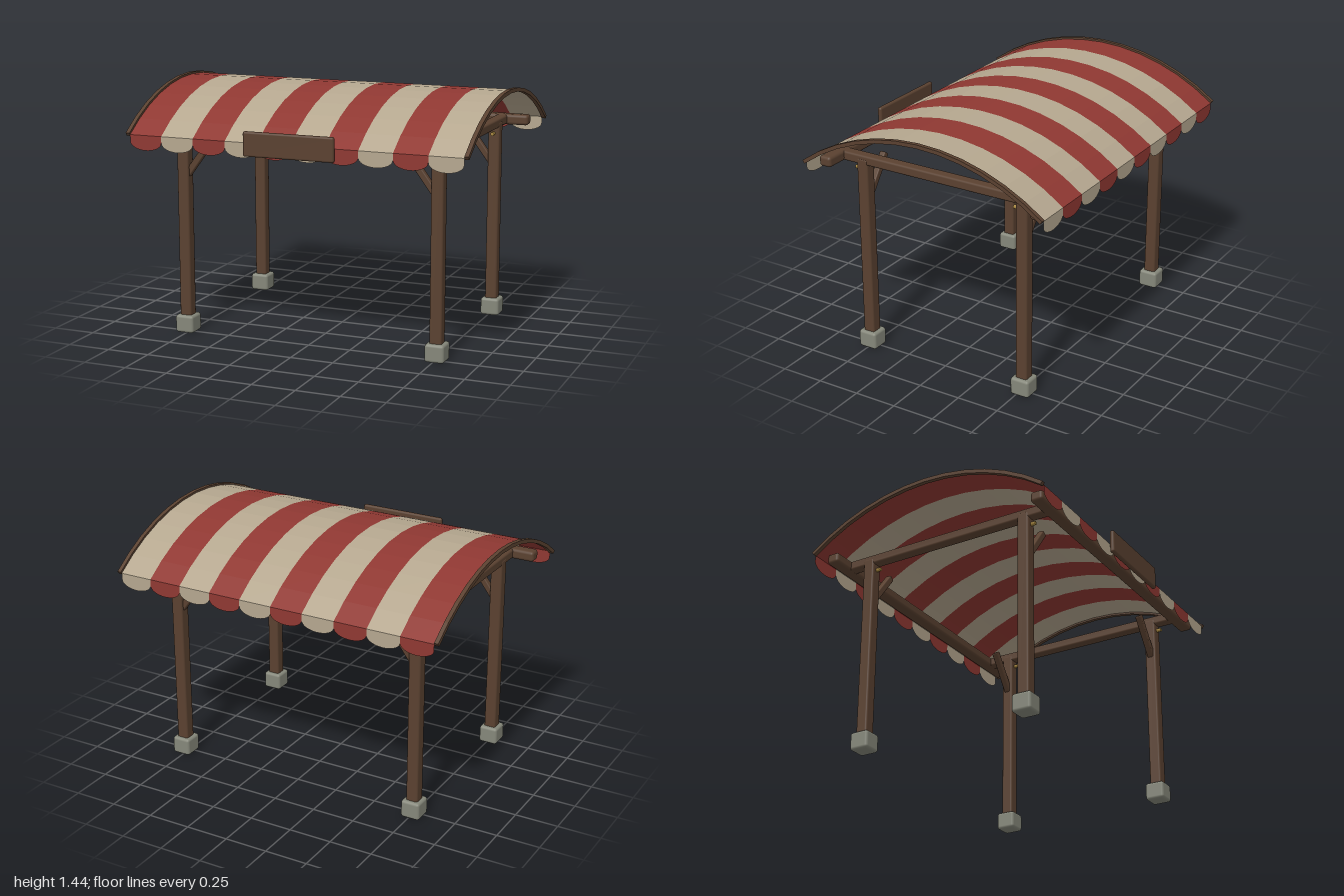
import * as THREE from 'three';
import { RoundedBoxGeometry } from 'three/addons/geometries/RoundedBoxGeometry.js';

const mat = (color, extra = {}) => new THREE.MeshStandardMaterial({ color, ...extra });
const wood = mat(0x5a4130);
const stone = mat(0x85877a);
const brass = mat(0xa8873f);
const cloth = [0x8f3832, 0xb5a78f].map((c) => mat(c, { side: THREE.DoubleSide, flatShading: true }));

const ZC = -0.015; // middle of the frame in z
const HALF = 0.975, STRIPES = 10, STRIPE_W = (2 * HALF) / STRIPES;
const EAVE = 1.175, PEAK = 1.425, SPAN = 0.75, SEGS = 12;
const RADIUS = (SPAN ** 2 + (PEAK - EAVE) ** 2) / (2 * (PEAK - EAVE));
const SWEEP = Math.asin(SPAN / RADIUS);

// Point [z, y] on the roof arc, t from 0 (back eave) to 1 (front eave)
function arcPoint(t, offset = 0) {
  const a = (t * 2 - 1) * SWEEP, r = RADIUS + offset;
  return [ZC + Math.sin(a) * r, PEAK - RADIUS + Math.cos(a) * r];
}

export function createModel() {
  const group = new THREE.Group();
  const add = (name, geometry, material, x = 0, y = 0, z = 0) => {
    const mesh = new THREE.Mesh(geometry, material);
    mesh.name = name;
    mesh.position.set(x, y, z);
    group.add(mesh);
    return mesh;
  };
  const box = (w, h, d, r) => new RoundedBoxGeometry(w, h, d, 2, r);

  // Posts with stone feet, corner braces and pegs
  for (const sx of [-1, 1]) {
    for (const z of [0.497, -0.523]) {
      const x = sx * 0.76;
      add('foot', box(0.112, 0.103, 0.115, 0.016), stone, x, 0.0515, z);
      add('post', box(0.07, 1.1, 0.07, 0.012), wood, x, 0.62, z);
      const brace = add('brace', box(0.038, 0.27, 0.038, 0.007), wood, sx * 0.665, 1.03, z);
      brace.rotation.z = sx * 0.64;
      const peg = add('peg', new THREE.CylinderGeometry(0.011, 0.011, 0.04, 10), brass, x, 1.102, z + 0.043);
      peg.rotation.x = Math.PI / 2;
    }
    // Side beam joining front and back
    add('sideBeam', box(0.065, 0.055, 1.36, 0.012), wood, sx * 0.76, 1.163, ZC);
  }

  // Long beams under the eaves
  for (const s of [-1, 1]) {
    add('eaveBeam', box(1.84, 0.062, 0.076, 0.018), wood, 0, 1.163, ZC + s * 0.67);
  }

  // Striped canopy with a scalloped valance on both eaves
  for (let i = 0; i < STRIPES; i++) {
    const x = -HALF + (i + 0.5) * STRIPE_W;
    const strip = new THREE.PlaneGeometry(STRIPE_W, 1, 1, SEGS);
    const p = strip.attributes.position;
    for (let k = 0; k < p.count; k++) {
      const [z, y] = arcPoint(0.5 - p.getY(k));
      p.setXYZ(k, p.getX(k), y, z);
    }
    strip.computeVertexNormals();
    add('canopyStripe', strip, cloth[i % 2], x);

    const w = STRIPE_W / 2;
    const flap = new THREE.Shape();
    flap.moveTo(w, 0);
    flap.lineTo(-w, 0);
    flap.lineTo(-w, -0.037);
    flap.absellipse(0, -0.037, w, 0.048, Math.PI, 2 * Math.PI, false);
    const flapGeometry = new THREE.ShapeGeometry(flap, 12);
    for (const s of [-1, 1]) {
      const mesh = add('valance', flapGeometry, cloth[i % 2], x, EAVE, ZC + s * SPAN);
      if (s < 0) mesh.rotation.y = Math.PI;
    }
  }

  // Curved wooden trim at both ends of the canopy
  const trim = new THREE.Shape();
  const outline = [];
  for (let k = 0; k <= SEGS; k++) outline.push(arcPoint(k / SEGS, 0.011));
  for (let k = SEGS; k >= 0; k--) outline.push(arcPoint(k / SEGS, -0.011));
  trim.setFromPoints(outline.map(([z, y]) => new THREE.Vector2(-z, y)));
  const trimGeometry = new THREE.ExtrudeGeometry(trim, { depth: 0.024, bevelEnabled: false });
  trimGeometry.translate(0, 0, -0.012).rotateY(Math.PI / 2);
  for (const s of [-1, 1]) add('endTrim', trimGeometry, wood, s * 0.988);

  // Plain sign board on the front eave
  add('signBoard', box(0.53, 0.138, 0.028, 0.012), wood, 0, 1.174, 0.761);

  return group;
}
